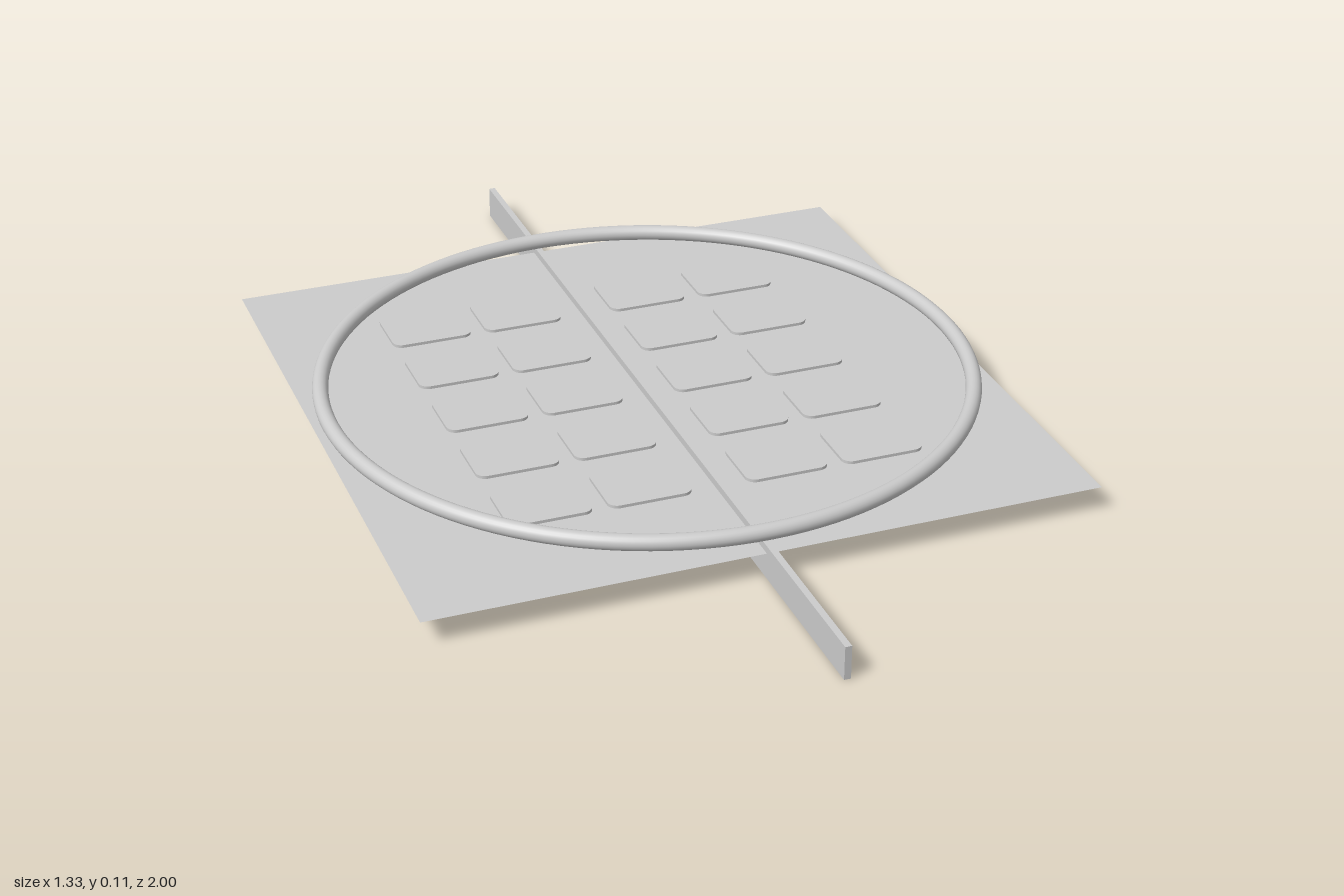
import * as THREE from 'three';

const material = new THREE.MeshStandardMaterial({ color: 0xcccccc });
const sheetMaterial = new THREE.MeshStandardMaterial({ color: 0xcccccc, side: THREE.DoubleSide });

function roundedRect(w, d, r) {
  const x = w / 2, y = d / 2;
  const s = new THREE.Shape();
  s.absarc(x - r, y - r, r, 0, Math.PI / 2);
  s.absarc(-x + r, y - r, r, Math.PI / 2, Math.PI);
  s.absarc(-x + r, -y + r, r, Math.PI, Math.PI * 1.5);
  s.absarc(x - r, -y + r, r, Math.PI * 1.5, Math.PI * 2);
  s.closePath();
  return s;
}

export function createModel() {
  const model = new THREE.Group();
  function add(name, geometry, x, y, z, mat = material) {
    const mesh = new THREE.Mesh(geometry, mat);
    mesh.name = name;
    mesh.position.set(x, y, z);
    model.add(mesh);
    return mesh;
  }

  // Thin square sheet
  add('baseSheet', new THREE.PlaneGeometry(1.33, 1.33).rotateX(-Math.PI / 2), -0.003, 0.052, -0.013, sheetMaterial);

  // Long upright bar running front to back
  add('centreBar', new THREE.BoxGeometry(0.013, 0.067, 2), -0.011, 0.0335, 0);

  // Round rim above the sheet
  add('rim', new THREE.TorusGeometry(0.646, 0.016, 20, 128).rotateX(Math.PI / 2), -0.004, 0.091, -0.006);

  // Four columns and five rows of thin rounded pads
  const padGeometry = new THREE.ExtrudeGeometry(roundedRect(0.166, 0.133, 0.02), {
    depth: 0.006, bevelEnabled: false, curveSegments: 6,
  }).rotateX(-Math.PI / 2);
  const pads = new THREE.Group();
  pads.name = 'pads';
  model.add(pads);
  for (const x of [-0.348, -0.152, 0.123, 0.32]) {
    for (let row = 0; row < 5; row++) {
      const pad = new THREE.Mesh(padGeometry, material);
      pad.name = 'pad';
      pad.position.set(x, 0.0605, -0.397 + row * 0.1885);
      pads.add(pad);
    }
  }
  return model;
}
